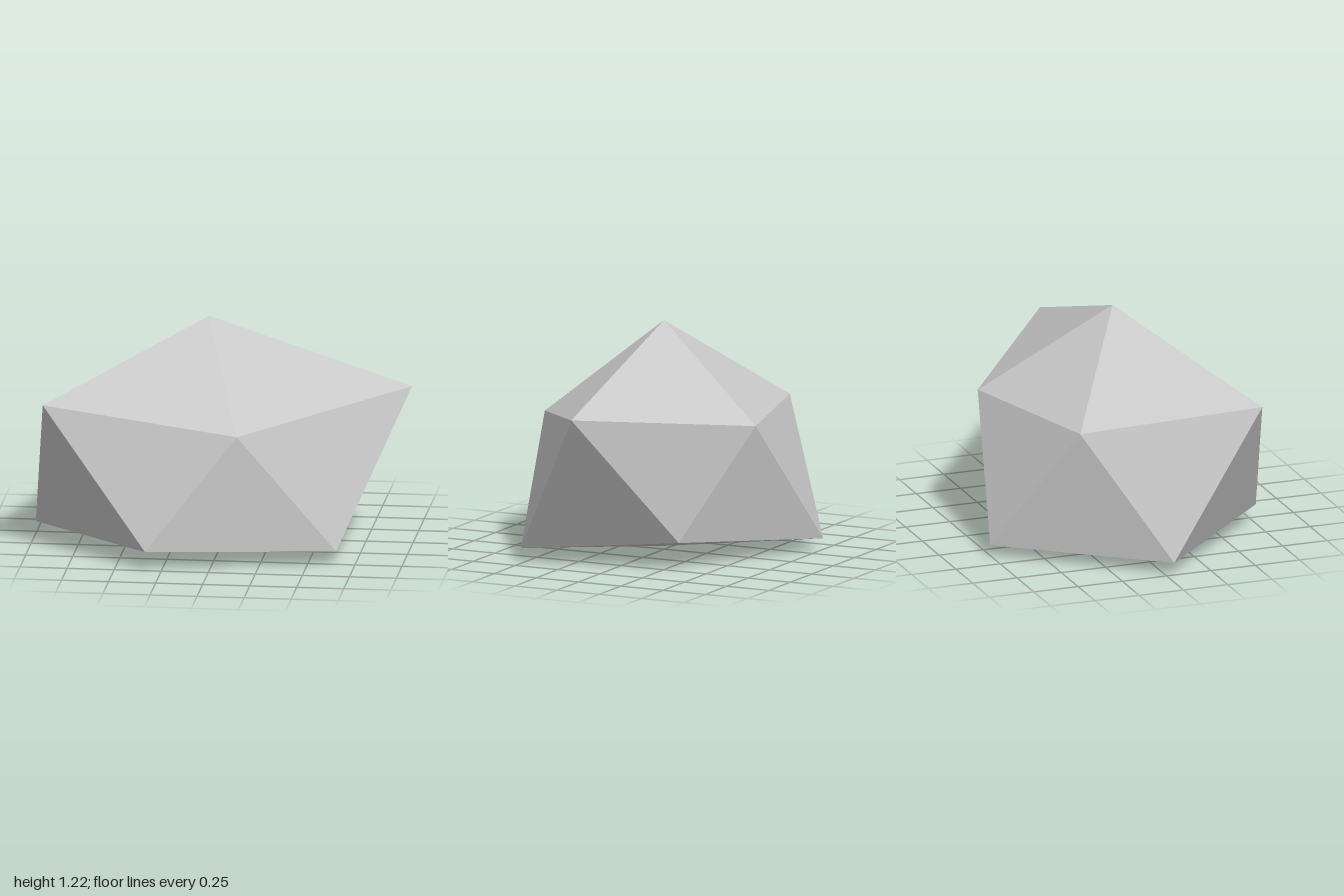
import * as THREE from 'three';

export function createModel() {
  const group = new THREE.Group();
  group.name = 'rock';
  const stone = new THREE.MeshStandardMaterial({ color: 0xc8c8c8, flatShading: true });
  stone.name = 'light stone grey';

  // Uneven icosahedron: two staggered rings of five corners between a peak and a base point
  const peak = [-0.08, 1.215, 0.043];
  const base = [-0.08, 0, 0.043];
  const upper = [[1, 0.865, 0.043], [0.138, 0.713, 0.637], [-0.9, 0.84, 0.578], [-0.715, 0.745, -0.38], [0.165, 0.747, -0.625]];
  const lower = [[0.652, 0.075, 0.518], [-0.335, 0.102, 0.755], [-1, 0.067, 0.043], [-0.365, 0.062, -0.755], [0.49, 0.149, -0.335]];

  const positions = [];
  const face = (...corners) => corners.forEach((c) => positions.push(...c));
  for (let i = 0; i < 5; i++) {
    const j = (i + 1) % 5;
    face(peak, upper[j], upper[i]); // cap
    face(upper[i], upper[j], lower[i]); // sides
    face(upper[j], lower[j], lower[i]);
    face(base, lower[i], lower[j]); // underside
  }

  const geometry = new THREE.BufferGeometry();
  geometry.setAttribute('position', new THREE.Float32BufferAttribute(positions, 3));
  geometry.computeVertexNormals();
  const boulder = new THREE.Mesh(geometry, stone);
  boulder.name = 'boulder';
  group.add(boulder);
  return group;
}
